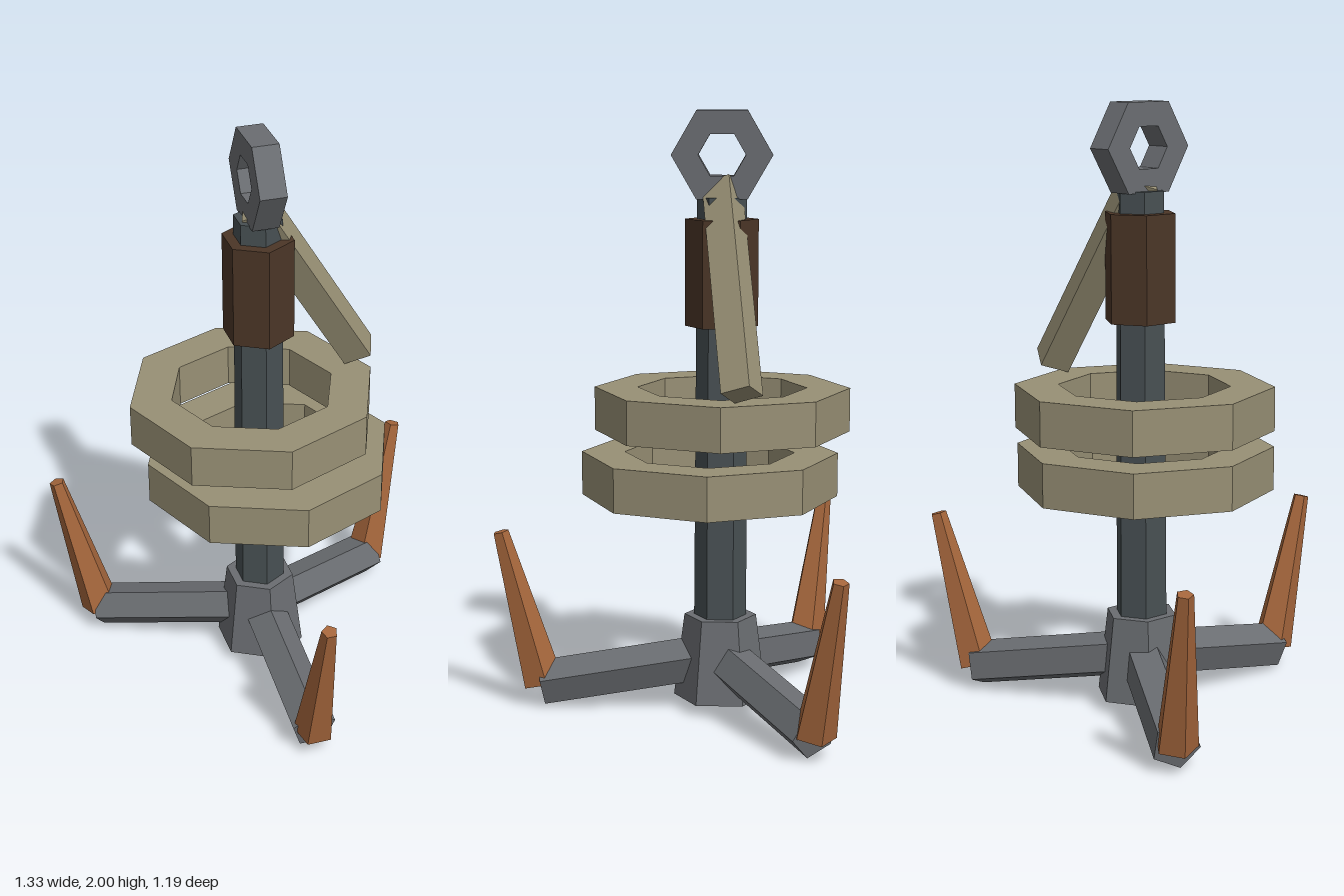
import * as THREE from 'three';

const AXIS_Z = -0.165; // the shaft stands slightly behind the origin

const paint = (name, color) => {
  const m = new THREE.MeshStandardMaterial({ color });
  m.name = name;
  return m;
};

// Separate the faces so every facet is shaded flat
function faceted(geometry) {
  const g = geometry.index ? geometry.toNonIndexed() : geometry;
  g.computeVertexNormals();
  return g;
}

// Faceted bar running from point a to point b
function bar(name, a, b, rStart, rEnd, sides, material) {
  const dir = b.clone().sub(a);
  const g = new THREE.CylinderGeometry(rEnd, rStart, dir.length(), sides, 1, false, Math.PI);
  const mesh = new THREE.Mesh(faceted(g), material);
  mesh.position.copy(a).add(b).multiplyScalar(0.5);
  mesh.quaternion.setFromUnitVectors(new THREE.Vector3(0, 1, 0), dir.normalize());
  mesh.name = name;
  return mesh;
}

// Flat polygonal ring, centred on the origin, facing z
function polygonRing(outer, inner, sides, depth) {
  const corners = (r) => Array.from({ length: sides }, (_, i) => {
    const t = (i / sides) * Math.PI * 2;
    return new THREE.Vector2(r * Math.cos(t), r * Math.sin(t));
  });
  const shape = new THREE.Shape(corners(outer));
  shape.holes.push(new THREE.Path(corners(inner).reverse()));
  const g = new THREE.ExtrudeGeometry(shape, { depth, bevelEnabled: false });
  return faceted(g.translate(0, 0, -depth / 2));
}

export function createModel() {
  const steel = paint('steel', 0x6a6d71);
  const darkIron = paint('dark iron', 0x485053);
  const leather = paint('brown leather', 0x4b3627);
  const rust = paint('rusty tip', 0xa5663c);
  const rope = paint('rope', 0x989075);

  const model = new THREE.Group();
  model.name = 'grapplingHook';
  const onAxis = (y) => new THREE.Vector3(0, y, AXIS_Z);

  // Central column
  model.add(
    bar('shaft', onAxis(0.2), onAxis(1.72), 0.088, 0.081, 6, darkIron),
    bar('grip', onAxis(1.3), onAxis(1.65), 0.12, 0.12, 6, leather),
    bar('hub', onAxis(0.045), onAxis(0.325), 0.155, 0.12, 6, steel)
  );

  // Eye at the top
  const eye = new THREE.Mesh(polygonRing(0.165, 0.077, 6, 0.09), steel);
  eye.name = 'eye';
  eye.rotation.y = Math.PI / 2;
  eye.position.set(0, 1.857, AXIS_Z);
  model.add(eye);

  // Three arms with upturned claws
  for (let i = 0; i < 3; i++) {
    const t = (i / 3) * Math.PI * 2;
    const at = (r, y) => new THREE.Vector3(r * Math.sin(t), y, AXIS_Z + r * Math.cos(t));
    const hook = new THREE.Group();
    hook.name = 'hook' + (i + 1);
    hook.add(
      bar('arm', at(0, 0.182), at(0.6, 0.08), 0.078, 0.078, 5, steel),
      bar('claw', at(0.602, 0.083), at(0.738, 0.602), 0.07, 0.027, 5, rust)
    );
    model.add(hook);
  }

  // Two loose rope coils around the shaft
  const coils = [['lowerCoil', 0.022, 0.81, -0.128], ['upperCoil', -0.022, 1.02, -0.168]];
  for (const [name, x, y, z] of coils) {
    const coil = new THREE.Mesh(polygonRing(0.423, 0.28, 8, 0.145), rope);
    coil.name = name;
    coil.rotation.x = -Math.PI / 2;
    coil.position.set(x, y, z);
    model.add(coil);
  }

  // Rope end hanging from the eye
  model.add(bar('ropeTail', new THREE.Vector3(-0.005, 1.76, AXIS_Z),
    new THREE.Vector3(0.378, 1.13, -0.234), 0.07, 0.07, 4, rope));

  return model;
}
